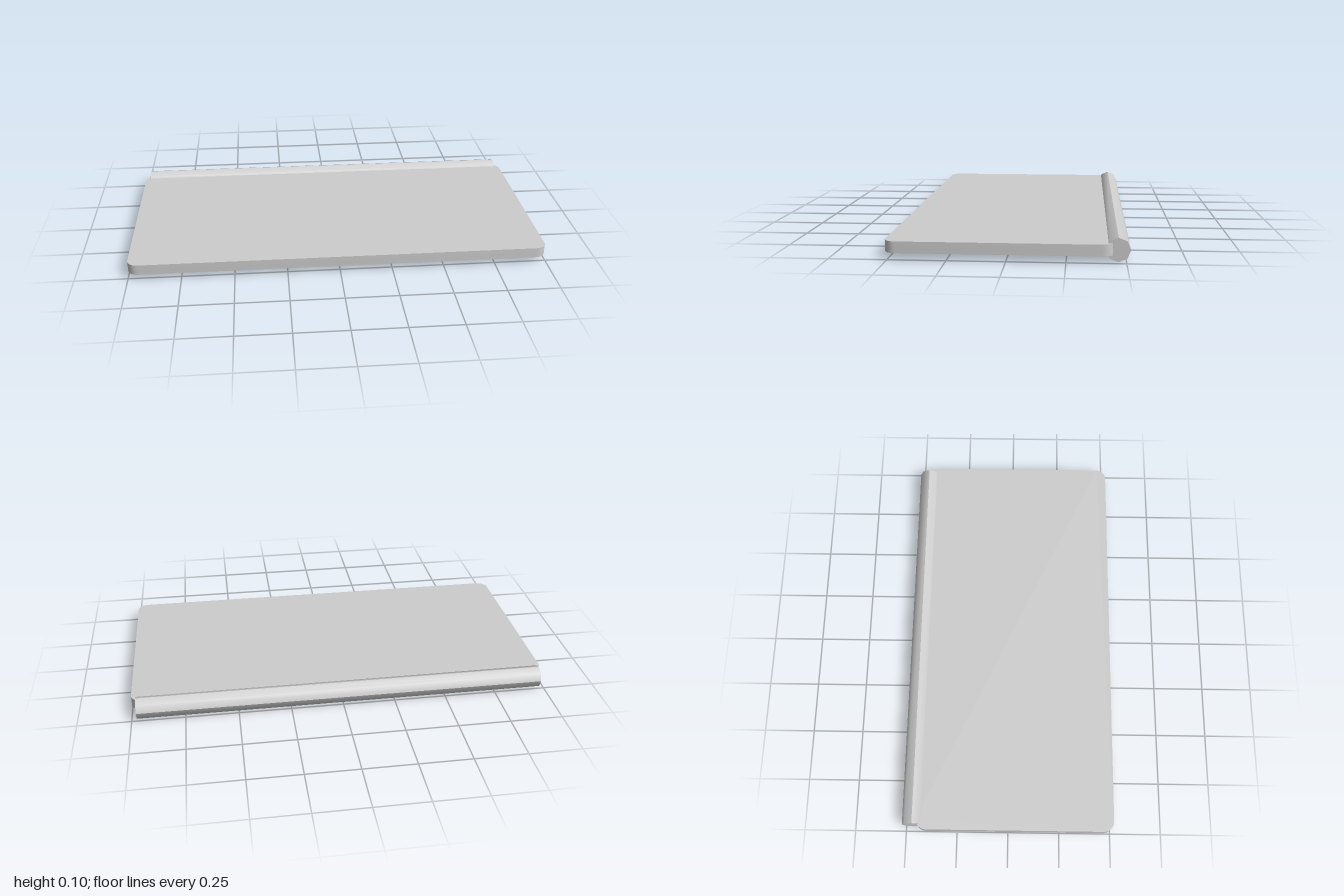
import * as THREE from 'three';
import { mergeGeometries, toCreasedNormals } from 'three/addons/utils/BufferGeometryUtils.js';

const material = (name, color) => {
  const m = new THREE.MeshStandardMaterial({ color });
  m.name = name;
  return m;
};

// Rounded rectangle in the ground plane (shape y = -z)
function roundedRect(w, d, cz, r) {
  const x = w / 2, top = d / 2 - cz, bottom = -d / 2 - cz;
  const s = new THREE.Shape();
  s.moveTo(x - r, bottom);
  s.absarc(x - r, bottom + r, r, -Math.PI / 2, 0);
  s.absarc(x - r, top - r, r, 0, Math.PI / 2);
  s.absarc(-x + r, top - r, r, Math.PI / 2, Math.PI);
  s.absarc(-x + r, bottom + r, r, Math.PI, Math.PI * 1.5);
  s.closePath();
  return s;
}

// Slab standing on y0 with smooth rounded corners
function slab(shape, y0, y1) {
  const g = new THREE.ExtrudeGeometry(shape, { depth: y1 - y0, bevelEnabled: false, curveSegments: 3 });
  g.rotateX(-Math.PI / 2).translate(0, y0, 0);
  return toCreasedNormals(g, 0.7);
}

// Eight-sided rod along x, smooth within each quarter and creased between them
function rodGeometry(radius, length) {
  const parts = [];
  for (let i = 0; i < 4; i++) {
    const q = new THREE.CylinderGeometry(radius, radius, length, 2, 1, true, i * Math.PI / 2, Math.PI / 2);
    q.rotateZ(Math.PI / 2);
    q.computeVertexNormals();
    parts.push(q);
  }
  for (const side of [-1, 1]) {
    parts.push(new THREE.CircleGeometry(radius, 8).rotateY(side * Math.PI / 2).translate(side * length / 2, 0, 0));
  }
  return mergeGeometries(parts);
}

export function createModel() {
  const model = new THREE.Group();
  model.name = 'panelWithRod';
  const lightGrey = material('lightGrey', 0xcccccc);
  const darkGrey = material('darkGrey', 0x5a5a5a);
  const add = (name, geometry, mat) => {
    const mesh = new THREE.Mesh(geometry, mat);
    mesh.name = name;
    model.add(mesh);
    return mesh;
  };

  const centreZ = 0.033, recessW = 1.14, recessD = 0.75, recessY = 0.042;
  const outline = () => roundedRect(2, 0.966, centreZ, 0.05);

  // Solid upper layer of the panel
  add('panelTop', slab(outline(), recessY, 0.08), lightGrey);

  // Lower layer, cut open for the recess
  const frame = outline();
  const x = recessW / 2, y0 = -centreZ - recessD / 2, y1 = -centreZ + recessD / 2;
  frame.holes.push(new THREE.Path([[-x, y0], [-x, y1], [x, y1], [x, y0]].map(p => new THREE.Vector2(...p))));
  add('panelUnderside', slab(frame, 0.03, recessY), lightGrey);

  // Dark floor of the recess, facing down
  const floor = new THREE.BoxGeometry(recessW, 0.002, recessD);
  add('recessFloor', floor, darkGrey).position.set(0, recessY - 0.001, centreZ);

  // Rod along the back edge
  add('backRod', rodGeometry(0.052, 1.95), lightGrey).position.set(0, 0.053, -0.466);

  return model;
}
